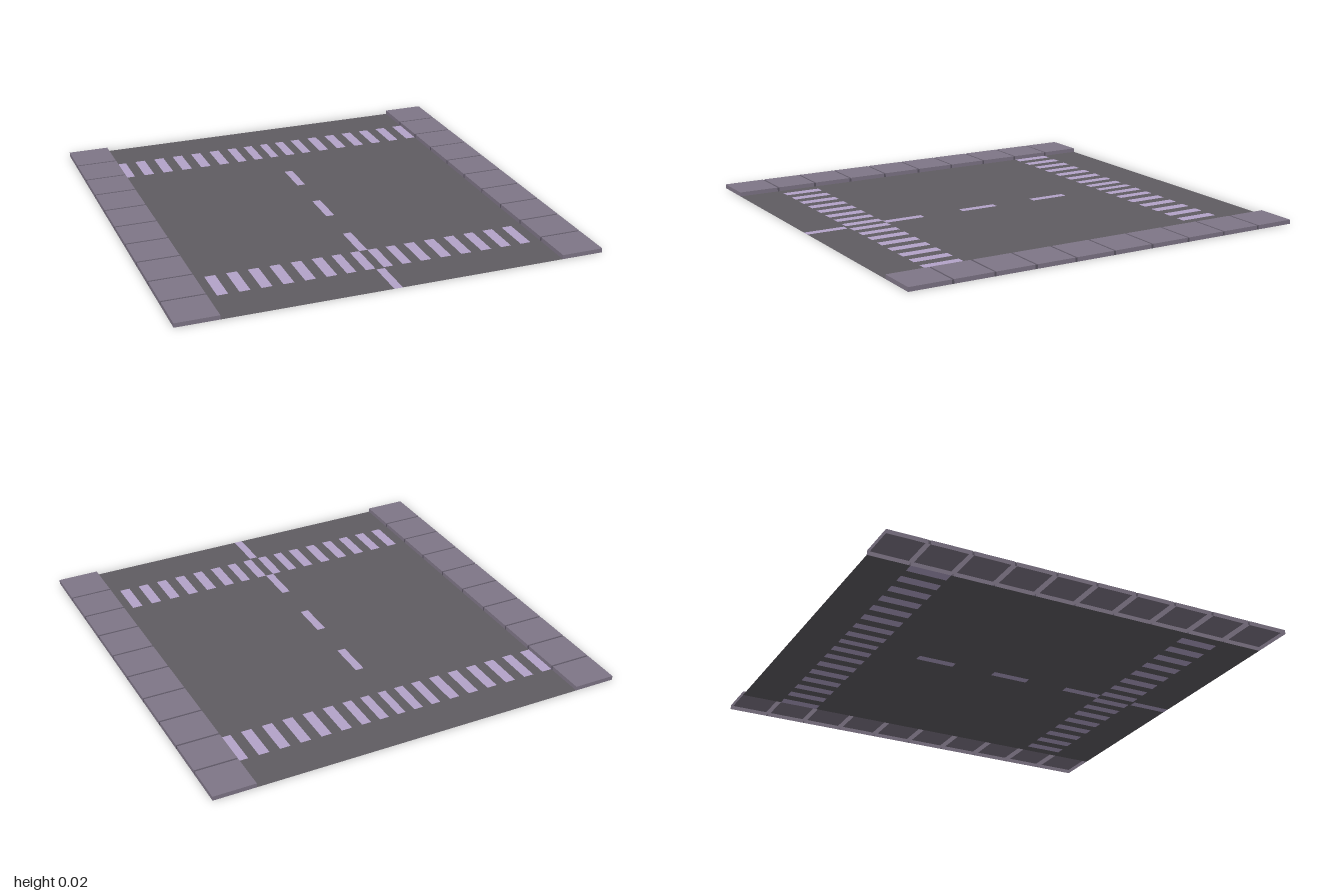
import * as THREE from 'three';
import { mergeGeometries } from 'three/addons/utils/BufferGeometryUtils.js';

const HEIGHT = 0.02, ROAD = 0.8, JOINT = 0.01;

const paint = (color) => new THREE.MeshStandardMaterial({ color, side: THREE.DoubleSide });

// flat rectangle on the ground
function patch(x0, x1, z0, z1) {
  return new THREE.PlaneGeometry(x1 - x0, z1 - z0)
    .rotateX(-Math.PI / 2)
    .translate((x0 + x1) / 2, 0, (z0 + z1) / 2);
}

// box standing on the ground, keeping only the wanted sides (order: +x -x +y -y +z -z)
function openBox(w, h, d, sides) {
  const g = new THREE.BoxGeometry(w, h, d).translate(0, h / 2, 0);
  const index = Array.from(g.index.array);
  g.setIndex(sides.flatMap((s) => index.slice(s * 6, s * 6 + 6)));
  g.clearGroups();
  return g;
}

export function createModel() {
  const model = new THREE.Group();
  const asphalt = paint(0x5f5c62), white = paint(0xb3a3c9);
  const paving = paint(0x7f7687), grout = paint(0x5c5664);

  // column edges across the road; the stripes narrow slightly near the middle
  const half = [0.02, 0.065, 0.11, 0.155, 0.2];
  for (let x = 0.25; x < ROAD + 0.01; x += 0.05) half.push(x);
  const edges = [...half.map((x) => -x).reverse(), ...half];
  const middle = half.length - 1;

  // rows along the road: [start, end, marking]
  const rows = [
    [-1, -0.8, 'plain'], [-0.8, -0.61, 'back'], [-0.61, -0.4, 'plain'],
    [-0.4, -0.21, 'dash'], [-0.21, 0, 'plain'], [0, 0.19, 'dash'],
    [0.19, 0.4, 'plain'], [0.4, 0.6, 'dash'], [0.6, 0.79, 'front'],
    [0.79, 0.8, 'plain'], [0.8, 1, 'dash'],
  ];
  const surface = [], stripes = [], dashes = [];
  for (const [z0, z1, kind] of rows) {
    if (kind === 'plain') {
      surface.push(patch(-ROAD, ROAD, z0, z1));
    } else if (kind === 'dash') {
      surface.push(patch(-ROAD, -half[0], z0, z1), patch(half[0], ROAD, z0, z1));
      dashes.push(patch(-half[0], half[0], z0, z1));
    } else {
      // the two crossings alternate in opposite phase
      const phase = kind === 'back' ? 0 : 1;
      for (let i = 0; i < edges.length - 1; i++) {
        const marked = Math.abs(i - middle) % 2 === phase;
        (marked ? stripes : surface).push(patch(edges[i], edges[i + 1], z0, z1));
      }
    }
  }
  const add = (parent, name, geometry, material) => {
    const mesh = new THREE.Mesh(geometry, material);
    mesh.name = name;
    parent.add(mesh);
    return mesh;
  };
  add(model, 'roadSurface', mergeGeometries(surface), asphalt);
  add(model, 'crossingStripes', mergeGeometries(stripes), white);
  add(model, 'centreDashes', mergeGeometries(dashes), white);

  // pavements: hollow slabs with narrow joints between them
  for (const side of [-1, 1]) {
    const pavement = new THREE.Group();
    pavement.name = side > 0 ? 'leftPavement' : 'rightPavement';
    pavement.position.x = side * 0.9;
    for (let i = 0; i < 10; i++) {
      const z0 = -1 + i * 0.2, last = i === 9;
      const depth = last ? 0.2 : 0.2 - JOINT;
      add(pavement, 'slab', openBox(0.2, HEIGHT, depth, [0, 1, 2, 4, 5]), paving)
        .position.z = z0 + depth / 2;
      if (!last) {
        add(pavement, 'joint', openBox(0.2, HEIGHT - 0.002, JOINT, [0, 1, 2]), grout)
          .position.z = z0 + 0.2 - JOINT / 2;
      }
    }
    model.add(pavement);
  }
  return model;
}
